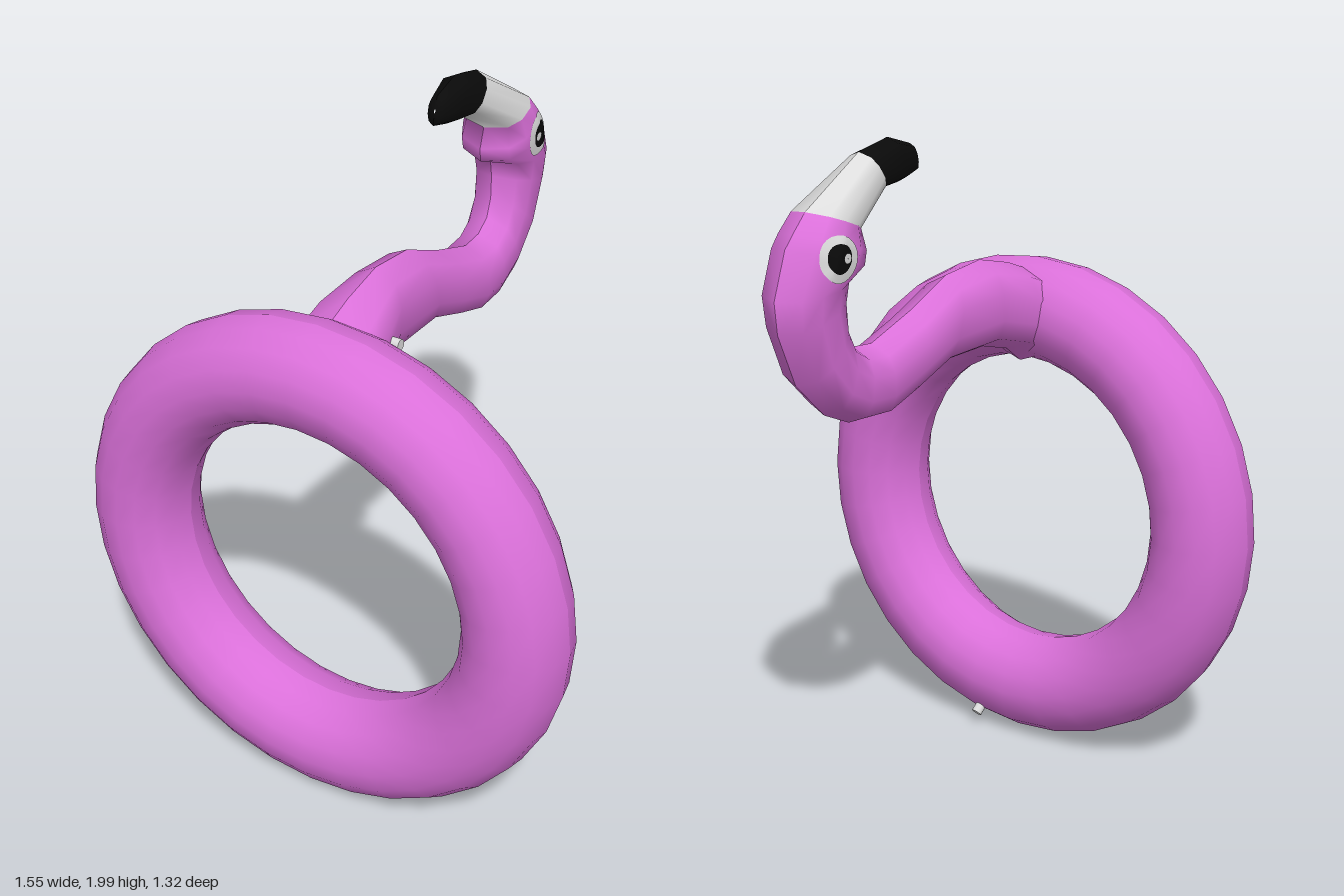
import * as THREE from 'three';

const mat = (name, color) => Object.assign(new THREE.MeshStandardMaterial({ color }), { name });

// Neck and head sections: inner edge z, y, outer edge z, y, half width
const SECTIONS = [
  [0.46, 1.53, 0.43, 1.25, 0.13],
  [0.36, 1.565, 0.36, 1.30, 0.12],
  [0.22, 1.595, 0.24, 1.33, 0.087],
  [0.06, 1.575, 0.0, 1.322, 0.085],
  [-0.10, 1.50, -0.15, 1.265, 0.085],
  [-0.27, 1.438, -0.26, 1.228, 0.085],
  [-0.345, 1.443, -0.37, 1.232, 0.085],
  [-0.395, 1.475, -0.47, 1.275, 0.085],
  [-0.416, 1.53, -0.58, 1.38, 0.087],
  [-0.418, 1.60, -0.645, 1.53, 0.09],
  [-0.41, 1.65, -0.655, 1.62, 0.097],
  [-0.35, 1.675, -0.61, 1.75, 0.105],
  [-0.345, 1.715, -0.58, 1.785, 0.105],
  [-0.365, 1.775, -0.53, 1.838, 0.092],
  [-0.235, 1.86, -0.315, 1.97, 0.05],
  [-0.15, 1.87, -0.196, 1.997, 0.045],
  [-0.08, 1.89, -0.10, 1.97, 0.022],
  [-0.085, 1.925, -0.09, 1.935, 0.002],
];
const WHITE_START = 13, BLACK_START = 14;

// Half cross-section: width factor, position from inner (0) to outer (1) edge
const HALF = [[0, 0], [0.74, 0.13], [1, 0.36], [1, 0.66], [0.74, 0.88], [0, 1]];

// One side of the neck, head and beak, with a colour group per region
function neckHalf(side) {
  const pos = [], idx = [], n = HALF.length, groupEnds = [];
  for (const [zi, yi, zo, yo, w] of SECTIONS)
    for (const [f, t] of HALF)
      pos.push(side * f * w, yi + (yo - yi) * t, zi + (zo - zi) * t);
  for (let k = 0; k < SECTIONS.length - 1; k++) {
    if (k === WHITE_START || k === BLACK_START) groupEnds.push(idx.length);
    for (let i = 0; i < n - 1; i++) {
      const a = k * n + i, b = a + 1, c = a + n, d = c + 1;
      if (side > 0) idx.push(a, b, c, b, d, c);
      else idx.push(a, c, b, b, c, d);
    }
  }
  const g = new THREE.BufferGeometry();
  g.setAttribute('position', new THREE.Float32BufferAttribute(pos, 3));
  g.setIndex(idx);
  const [p, w] = groupEnds;
  g.addGroup(0, p, 0);
  g.addGroup(p, w - p, 1);
  g.addGroup(w, idx.length - w, 2);
  g.computeVertexNormals();
  return g;
}

// Thin disc draped over the side of the head
function eyeDisc(head, side, z, y, radius, lift, material, name) {
  const g = new THREE.RingGeometry(0.0005, radius, 24, 5);
  g.rotateY(side * Math.PI / 2);
  g.translate(0, y, z);
  const p = g.attributes.position, ray = new THREE.Raycaster();
  for (let i = 0; i < p.count; i++) {
    ray.set(new THREE.Vector3(side, p.getY(i), p.getZ(i)), new THREE.Vector3(-side, 0, 0));
    const hit = ray.intersectObject(head)[0];
    p.setX(i, (hit ? hit.point.x : side * 0.08) + side * lift);
  }
  g.computeVertexNormals();
  const m = new THREE.Mesh(g, material);
  m.name = name;
  return m;
}

export function createModel() {
  const pink = mat('pink vinyl', 0xda70d9);
  const white = mat('pale grey', 0xdcdcdc);
  const black = mat('black', 0x0a0a0a);
  const model = new THREE.Group();
  model.name = 'flamingoSwimRing';
  const add = (geometry, material, name) => {
    const m = new THREE.Mesh(geometry, material);
    m.name = name;
    model.add(m);
    return m;
  };

  // Inflated ring: two halves meeting in a creased seam
  [['ringFront', 0], ['ringBack', Math.PI]].forEach(([name, start]) => {
    const profile = [];
    for (let i = 0; i <= 8; i++) {
      const t = start + (i / 8) * Math.PI;
      profile.push(new THREE.Vector2(0.62 + 0.155 * Math.cos(t), 0.155 * Math.sin(t)));
    }
    const g = new THREE.LatheGeometry(profile, 32);
    g.rotateX(Math.PI / 2);
    g.translate(0, 0.785, 0.51);
    add(g, pink, name);
  });

  // Neck, head and beak with eyes on both sides
  for (const side of [1, -1]) {
    const label = side > 0 ? 'Left' : 'Right';
    const head = add(neckHalf(side), [pink, white, black], 'neckAndHead' + label);
    head.updateMatrixWorld();
    model.add(
      eyeDisc(head, side, -0.51, 1.722, 0.063, 0.003, white, 'eyeWhite' + label),
      eyeDisc(head, side, -0.513, 1.724, 0.04, 0.006, black, 'pupil' + label),
      eyeDisc(head, side, -0.492, 1.724, 0.014, 0.009, white, 'eyeGlint' + label));
  }

  // Air valves on the neck base and under the ring
  const valve = (name, x, y, z, dir) => {
    const v = add(new THREE.CylinderGeometry(0.017, 0.017, 0.04, 12), white, name);
    v.position.set(x, y, z);
    v.quaternion.setFromUnitVectors(new THREE.Vector3(0, 1, 0), dir.normalize());
  };
  valve('neckValve', 0.116, 1.44, 0.315, new THREE.Vector3(1, 0, 0));
  valve('ringValve', 0.12, 0.063, 0.397, new THREE.Vector3(0.1, -0.7, -0.7));

  return model;
}
